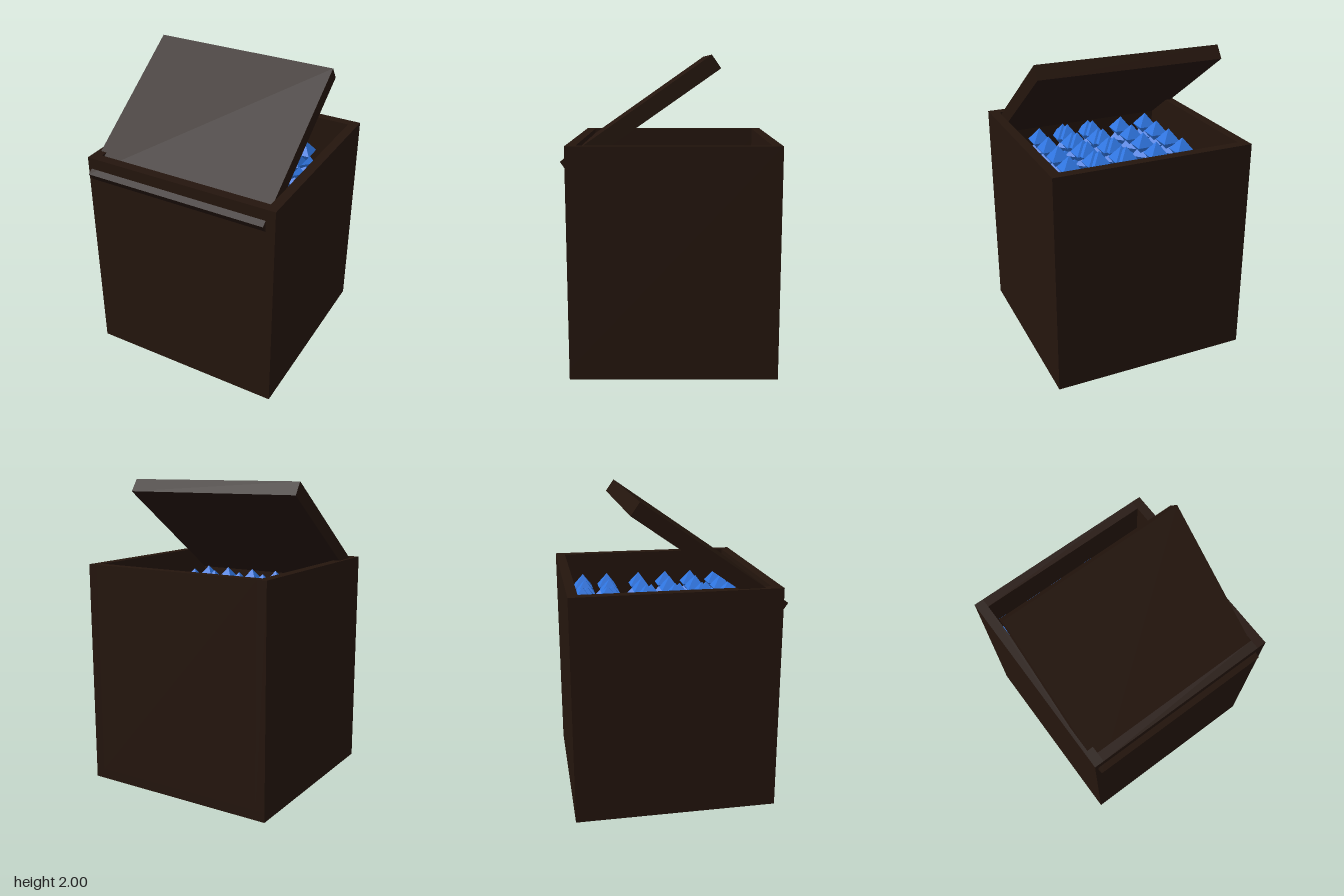
import * as THREE from 'three';

export function createModel() {
  const model = new THREE.Group();
  const wood = new THREE.MeshStandardMaterial({ color: 0x24150d });
  const blue = new THREE.MeshStandardMaterial({ color: 0x2f75e0, flatShading: true });

  // Box spanning the given minimum and maximum corners
  const panel = (name, [x0, y0, z0], [x1, y1, z1]) => {
    const mesh = new THREE.Mesh(new THREE.BoxGeometry(x1 - x0, y1 - y0, z1 - z0), wood);
    mesh.position.set((x0 + x1) / 2, (y0 + y1) / 2, (z0 + z1) / 2);
    mesh.name = name;
    model.add(mesh);
  };

  // Open chest: floor and four walls
  const X = 0.66, back = -0.67, front = 0.635, H = 1.465, T = 0.063;
  panel('floor', [-X, 0, back], [X, T, front]);
  panel('rightWall', [-X, T, back], [-X + T, H, front]);
  panel('leftWall', [X - T, T, back], [X, H, front]);
  panel('backWall', [-X + T, T, back], [X - T, H, back + T]);
  panel('frontWall', [-X + T, T, front - T], [X - T, H, front]);

  // Tilted lid, its low edge poking through the front wall
  const lid = new THREE.Mesh(new THREE.BoxGeometry(1.236, 0.097, 1.11), wood);
  lid.name = 'lid';
  lid.position.set(-0.02, 1.6425, 0.187);
  lid.rotation.x = 0.609;
  model.add(lid);

  // Gems: blocks of two by two, stacked in layers with alternating turns
  const gems = new THREE.Group();
  gems.name = 'gems';
  const gemShape = new THREE.OctahedronGeometry(0.092);
  const addGem = (x, y, z, turn) => {
    const gem = new THREE.Mesh(gemShape, blue);
    gem.name = 'gem';
    gem.position.set(x, y, z);
    gem.rotation.y = turn;
    gems.add(gem);
  };
  const columns = [[-0.5, -0.3], [-0.075, 0.122], [0.334, 0.51]];
  const rows = [[-0.525, -0.35], [-0.08, 0.12], [0.31, 0.5]];
  columns.forEach((pairX, i) => rows.forEach((pairZ, j) => {
    // The rear block on the left sits slightly further forward
    const shift = i === 2 && j === 0 ? 0.037 : 0;
    for (const x of pairX) for (const z of pairZ) {
      for (let layer = 0; layer < 4; layer++) {
        addGem(x, 1.243 - layer * 0.07, z + shift, layer % 2 ? 0 : Math.PI / 4);
      }
      // Extra gems tucked into the middle column
      if (i === 1) addGem(x + 0.022, 1.238, z + 0.035, Math.PI / 4);
    }
  }));
  model.add(gems);

  return model;
}
